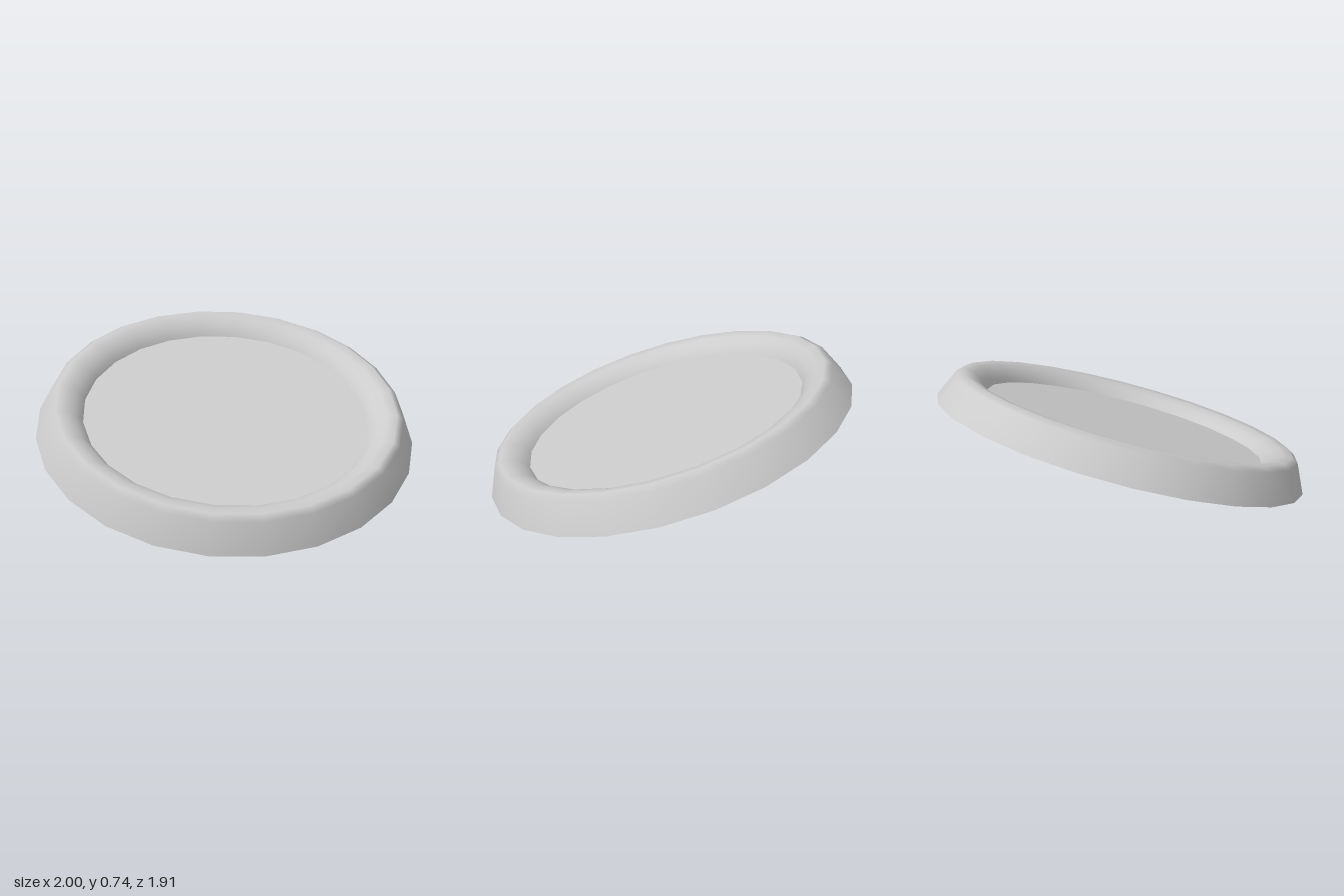
import * as THREE from 'three';

const SIDES = 24;
const TILT = 0.308;
const DISC_RADIUS = 0.755;
const DISC_HEIGHT = 0.085;

export function createModel() {
  const material = new THREE.MeshStandardMaterial({ color: 0xcccccc, side: THREE.DoubleSide });

  // Hollow rim: flared outer wall, rounded crest, inner wall down to the disc
  const profile = [
    [1, 0], [0.93, 0.148], [0.895, 0.17], [0.845, 0.162],
    [0.8, 0.138], [0.77, 0.108], [DISC_RADIUS, DISC_HEIGHT],
  ].map(([r, y]) => new THREE.Vector2(r, y));
  const rim = new THREE.Mesh(new THREE.LatheGeometry(profile, SIDES), material);
  rim.name = 'rim';

  // Flat recessed disc, with its corners on the rim's inner edge
  const discGeometry = new THREE.CircleGeometry(DISC_RADIUS, SIDES);
  discGeometry.rotateX(-Math.PI / 2);
  const disc = new THREE.Mesh(discGeometry, material);
  disc.name = 'disc';
  disc.position.y = DISC_HEIGHT;

  // The whole dish leans towards the front, its front edge on the ground
  const dish = new THREE.Group();
  dish.name = 'tiltedDish';
  dish.add(rim, disc);
  dish.rotation.x = TILT;
  dish.position.y = Math.sin(TILT);

  const model = new THREE.Group();
  model.name = 'dishModel';
  model.add(dish);
  return model;
}
